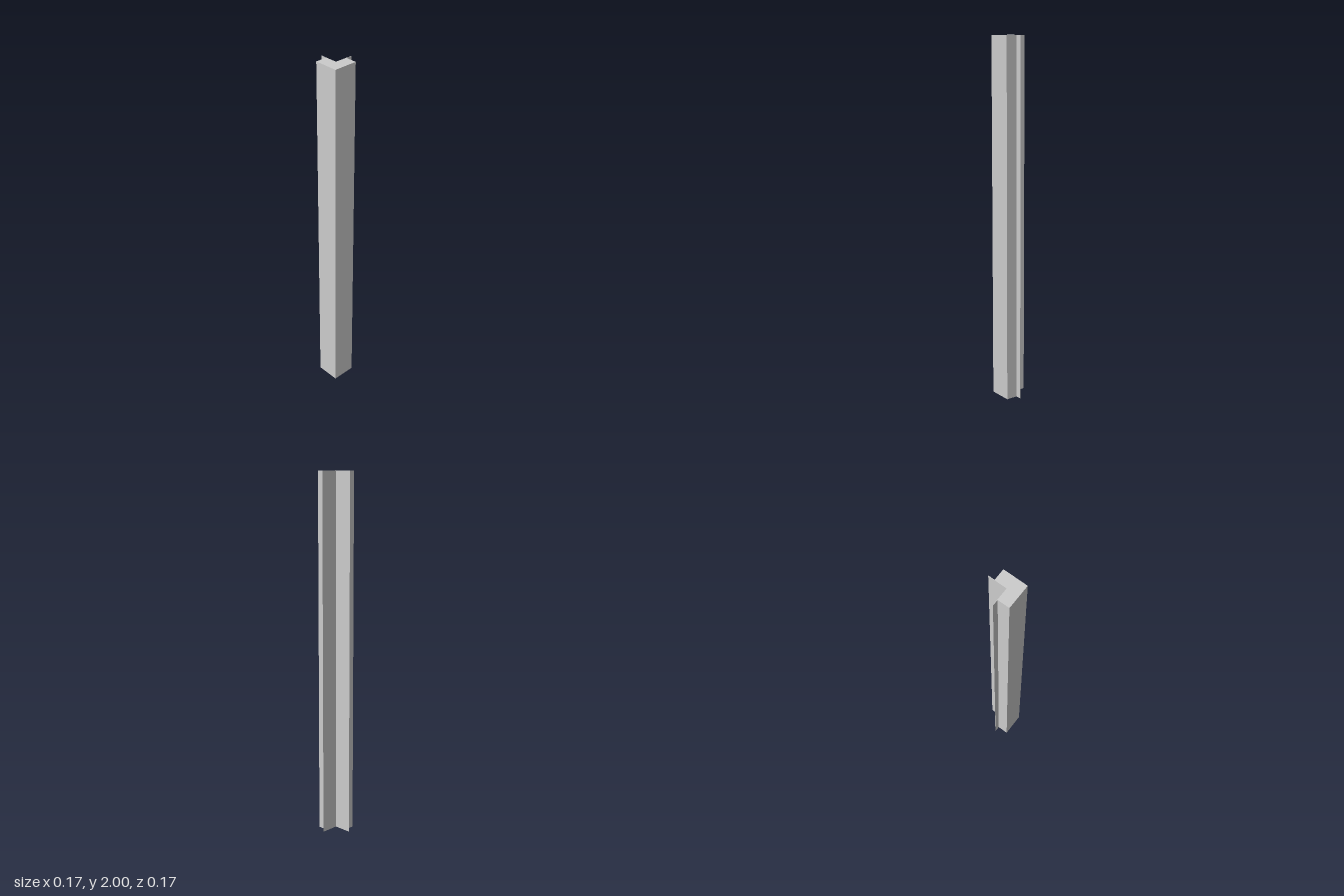
import * as THREE from 'three';

export function createModel() {
  const group = new THREE.Group();
  group.name = 'cornerTrim';

  const height = 2;
  const outer = 0.084;  // half extent of the whole section
  const body = 0.05;    // where the thick legs end
  const inner = 0.0175; // inner corner offset
  const lip = 0.002;    // thickness of the thin flanges

  // Half of the L section, from the flange tip towards the outer corner;
  // the other half mirrors it across the diagonal (x, y) -> (y, x)
  const half = [
    [-inner, outer],
    [-inner - lip, outer],
    [-inner - lip, body],
    [-outer, body],
  ];
  const mirrored = half.map(([x, y]) => [y, x]).reverse();
  const section = [...half, [-outer, -outer], ...mirrored, [-inner, -inner]];

  const shape = new THREE.Shape(section.map(([x, y]) => new THREE.Vector2(x, y)));
  const geometry = new THREE.ExtrudeGeometry(shape, { depth: height, bevelEnabled: false });
  geometry.rotateX(-Math.PI / 2); // stand the extrusion upright

  const mesh = new THREE.Mesh(
    geometry,
    new THREE.MeshStandardMaterial({ color: 0xcccccc, flatShading: true })
  );
  mesh.name = 'cornerPostWithFlanges';
  group.add(mesh);
  return group;
}
